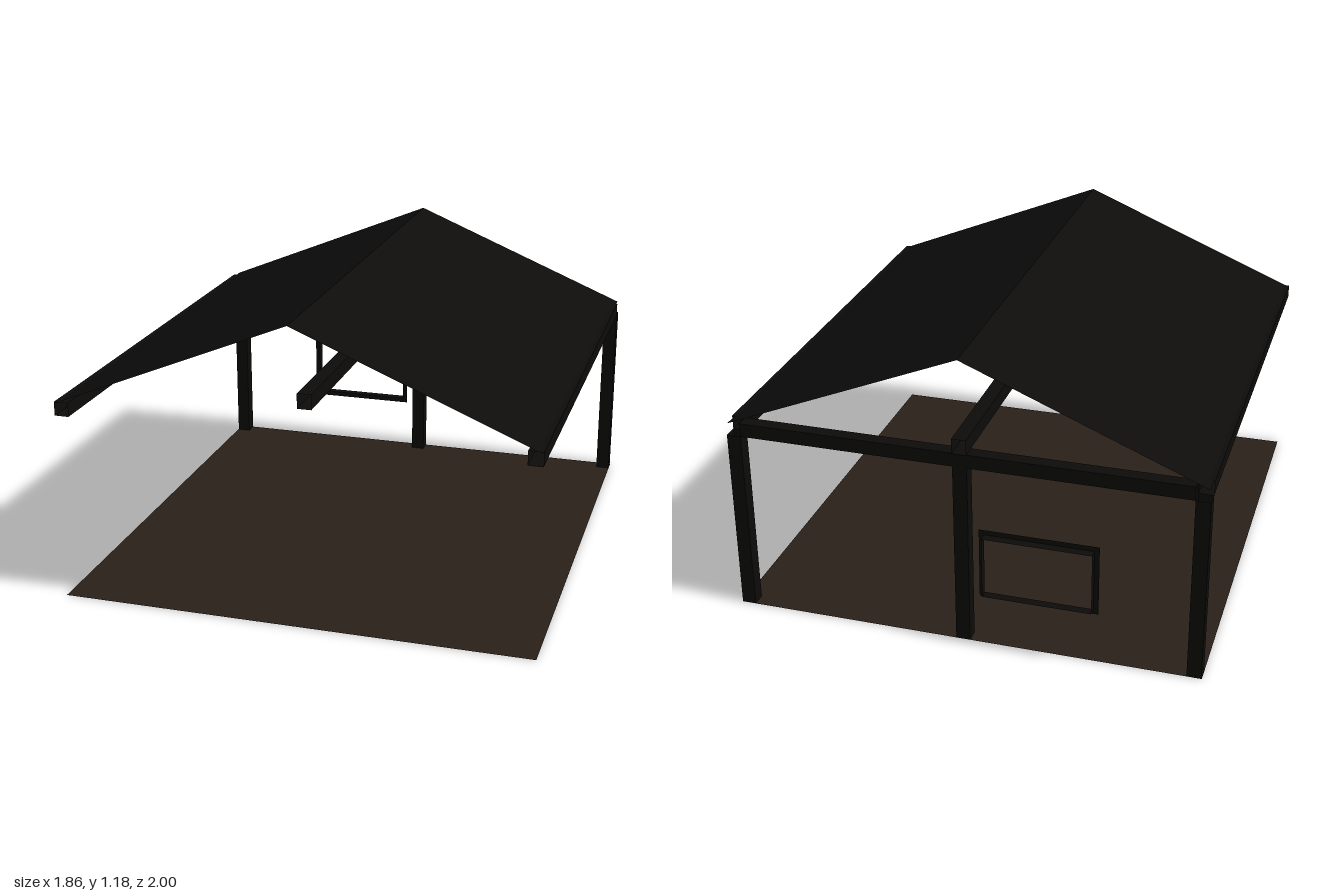
import * as THREE from 'three';

const timber = new THREE.MeshStandardMaterial({ color: 0x0d0c0b, side: THREE.DoubleSide });
const roofing = new THREE.MeshStandardMaterial({ color: 0x0d0c0b, side: THREE.DoubleSide });
const earth = new THREE.MeshStandardMaterial({ color: 0x2a2119, side: THREE.DoubleSide });

// Hollow rectangular member between two corners, left open at both ends of one axis
function openBeam(name, axis, [x0, y0, z0], [x1, y1, z1]) {
  const geo = new THREE.BoxGeometry(x1 - x0, y1 - y0, z1 - z0);
  const skip = 'xyz'.indexOf(axis);
  const index = Array.from(geo.index.array).filter((_, i) => Math.floor(i / 12) !== skip);
  geo.setIndex(index);
  geo.clearGroups();
  geo.translate((x0 + x1) / 2, (y0 + y1) / 2, (z0 + z1) / 2);
  const mesh = new THREE.Mesh(geo, timber);
  mesh.name = name;
  return mesh;
}

// Flat sheet of one roof slope, from ridge to eave
function roofSlope(side) {
  const run = 0.922, ridge = 1.18, eave = 0.8, front = 1, back = -0.965;
  const geo = new THREE.PlaneGeometry(Math.hypot(run, ridge - eave), front - back);
  geo.rotateX(-Math.PI / 2);
  geo.rotateZ(-side * Math.atan2(ridge - eave, run));
  geo.translate(side * run / 2, (ridge + eave) / 2, (front + back) / 2);
  const mesh = new THREE.Mesh(geo, roofing);
  mesh.name = side > 0 ? 'leftRoofSlope' : 'rightRoofSlope';
  return mesh;
}

// Window: flat border with a shallow sleeve projecting backwards
function windowFrame() {
  const group = new THREE.Group();
  group.name = 'windowFrame';
  const x0 = -0.512, x1 = -0.09, y0 = 0.23, y1 = 0.48, rim = 0.02, z = -0.965;
  group.add(openBeam('windowSleeve', 'z', [x0, y0, -1], [x1, y1, z]));
  const rect = (Type, m) => new Type([
    new THREE.Vector2(x0 - m, y0 - m), new THREE.Vector2(x1 + m, y0 - m),
    new THREE.Vector2(x1 + m, y1 + m), new THREE.Vector2(x0 - m, y1 + m),
  ]);
  const shape = rect(THREE.Shape, rim);
  shape.holes.push(rect(THREE.Path, 0));
  const border = new THREE.Mesh(new THREE.ShapeGeometry(shape), timber);
  border.position.z = z;
  border.name = 'windowBorder';
  group.add(border);
  return group;
}

export function createModel() {
  const model = new THREE.Group();
  model.name = 'openShelter';
  const back = -0.965, inner = -0.91, top = 0.75, plate = 0.805;

  // Ground sheet
  const floor = new THREE.Mesh(new THREE.PlaneGeometry(1.86, 1 - back), earth);
  floor.rotation.x = -Math.PI / 2;
  floor.position.z = (1 + back) / 2;
  floor.name = 'floor';
  model.add(floor);

  // Three posts along the back
  for (const [name, x] of [['rightPost', -0.9], ['centrePost', 0], ['leftPost', 0.9]]) {
    model.add(openBeam(name, 'y', [x - 0.028, 0, back], [x + 0.028, top, inner]));
  }

  // Cross beam, eave beams and centre beam
  model.add(openBeam('backCrossBeam', 'x', [-0.872, top, back], [0.872, plate, inner]));
  for (const [name, x] of [['rightEaveBeam', -0.9], ['leftEaveBeam', 0.9]]) {
    model.add(openBeam(name, 'z', [x - 0.028, top, inner], [x + 0.028, plate, 1]));
  }
  model.add(openBeam('centreBeam', 'z', [-0.028, plate, -0.97], [0.028, 0.865, 0.82]));

  // Roof and window
  model.add(roofSlope(1), roofSlope(-1), windowFrame());
  return model;
}
